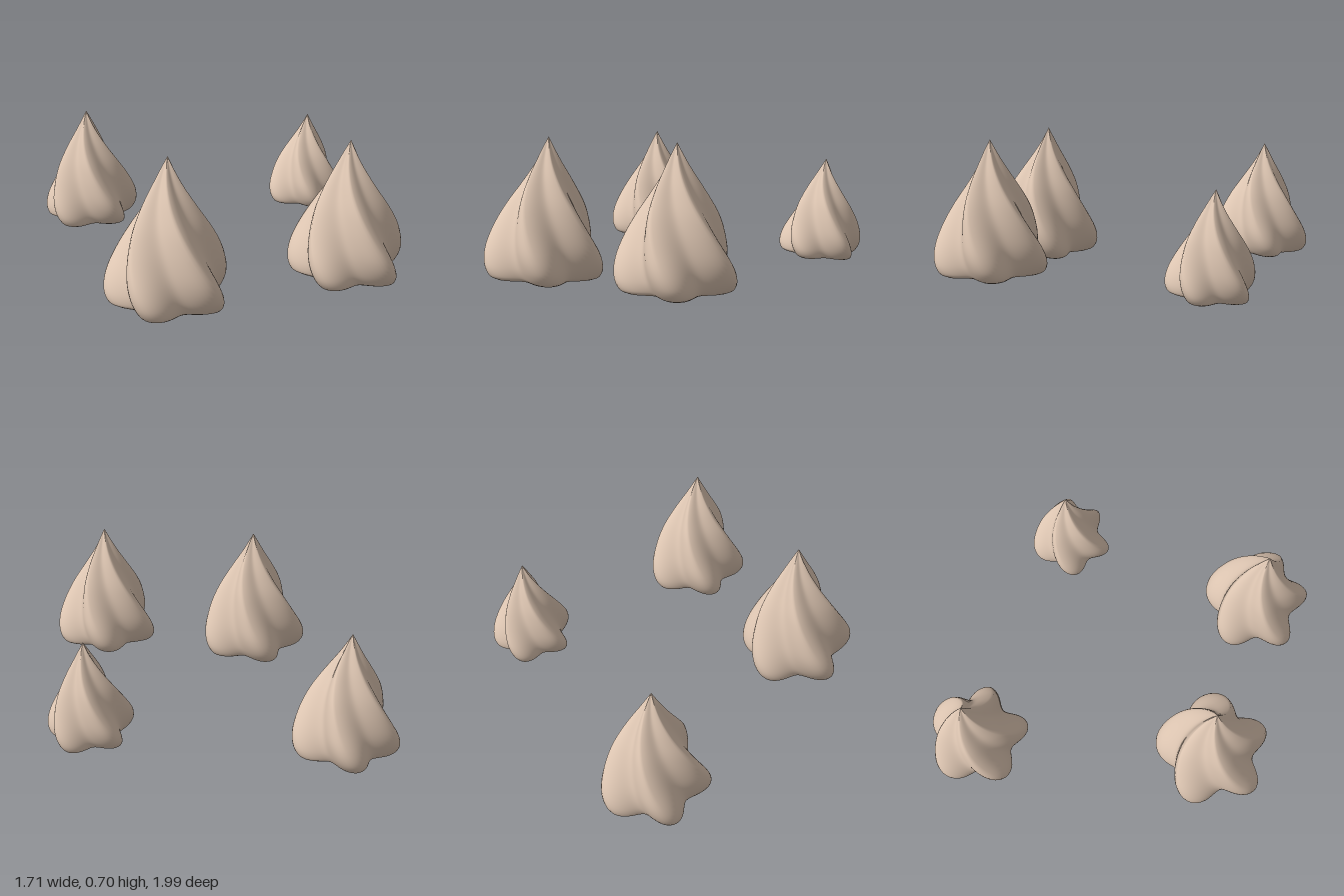
import * as THREE from 'three';

const LOBES = 5, COLS = 100, ROWS = 64;
const TWIST = THREE.MathUtils.degToRad(75);

// Outer profile of a piped drop: radius factor against height factor
const profile = new THREE.CatmullRomCurve3([
  [0.82, 0], [0.93, 0.025], [0.99, 0.08], [1, 0.14], [0.97, 0.22], [0.86, 0.35],
  [0.69, 0.5], [0.45, 0.67], [0.22, 0.83], [0.09, 0.93], [0, 1],
].map(([r, t]) => new THREE.Vector3(r, t, 0)));

// Lobed cross-section: round near the foot, ridged higher up
function section(a, t) {
  const round = Math.cos(LOBES * a);
  const ridged = 1 - 2 * Math.abs(Math.sin(LOBES * a / 2));
  const w = 0.6 * THREE.MathUtils.smoothstep(t, 0.1, 0.5);
  return 0.85 + 0.15 * (round * (1 - w) + ridged * w);
}

function buildGeometry(positions, index) {
  const g = new THREE.BufferGeometry();
  g.setAttribute('position', new THREE.Float32BufferAttribute(positions, 3));
  g.setIndex(index);
  g.computeVertexNormals();
  return g;
}

function ringPoint(j, R, H, p) {
  const a = (j / COLS) * Math.PI * 2;
  const r = p.x * R * section(a, p.y);
  const turned = a - TWIST * p.y;
  return [Math.cos(turned) * r, p.y * H, -Math.sin(turned) * r];
}

// Twisted side surface, one ring per profile step
function swirlGeometry(R, H) {
  const pos = [], idx = [];
  for (let i = 0; i <= ROWS; i++) {
    const p = profile.getPoint(i / ROWS);
    for (let j = 0; j < COLS; j++) pos.push(...ringPoint(j, R, H, p));
  }
  for (let i = 0; i < ROWS; i++) {
    for (let j = 0; j < COLS; j++) {
      const k = (j + 1) % COLS;
      const a = i * COLS + j, b = i * COLS + k;
      idx.push(a, b, a + COLS);
      if (i < ROWS - 1) idx.push(b, b + COLS, a + COLS);
    }
  }
  return buildGeometry(pos, idx);
}

// Flat underside
function baseGeometry(R, H) {
  const pos = [0, 0, 0], idx = [];
  for (let j = 0; j < COLS; j++) {
    pos.push(...ringPoint(j, R, H, profile.getPoint(0)));
    idx.push(0, 1 + (j + 1) % COLS, 1 + j);
  }
  return buildGeometry(pos, idx);
}

export function createModel() {
  const model = new THREE.Group();
  model.name = 'meringues';
  const material = new THREE.MeshStandardMaterial({ color: 0xe0c8b4 });

  // Four drops: size, place, heading of the first lobe and slight lean
  const drops = [
    { name: 'largeMeringue', R: 0.28, H: 0.645, at: [-0.60, 0.02, 0.335], turn: -70, lean: [-0.04, -0.045] },
    { name: 'backMeringue', R: 0.248, H: 0.567, at: [-0.255, 0.008, -0.765], turn: -82, lean: [-0.025, -0.01] },
    { name: 'frontMeringue', R: 0.262, H: 0.605, at: [0.078, 0.095, 0.738], turn: -82, lean: [-0.005, 0] },
    { name: 'smallMeringue', R: 0.202, H: 0.462, at: [0.66, 0.068, -0.088], turn: -42, lean: [-0.02, -0.05] },
  ];
  for (const d of drops) {
    const drop = new THREE.Group();
    drop.name = d.name;
    const swirl = new THREE.Mesh(swirlGeometry(d.R, d.H), material);
    swirl.name = 'swirl';
    const base = new THREE.Mesh(baseGeometry(d.R, d.H), material);
    base.name = 'base';
    drop.add(swirl, base);
    drop.position.set(...d.at);
    drop.rotation.set(d.lean[0], THREE.MathUtils.degToRad(d.turn), d.lean[1], 'XZY');
    model.add(drop);
  }
  return model;
}
